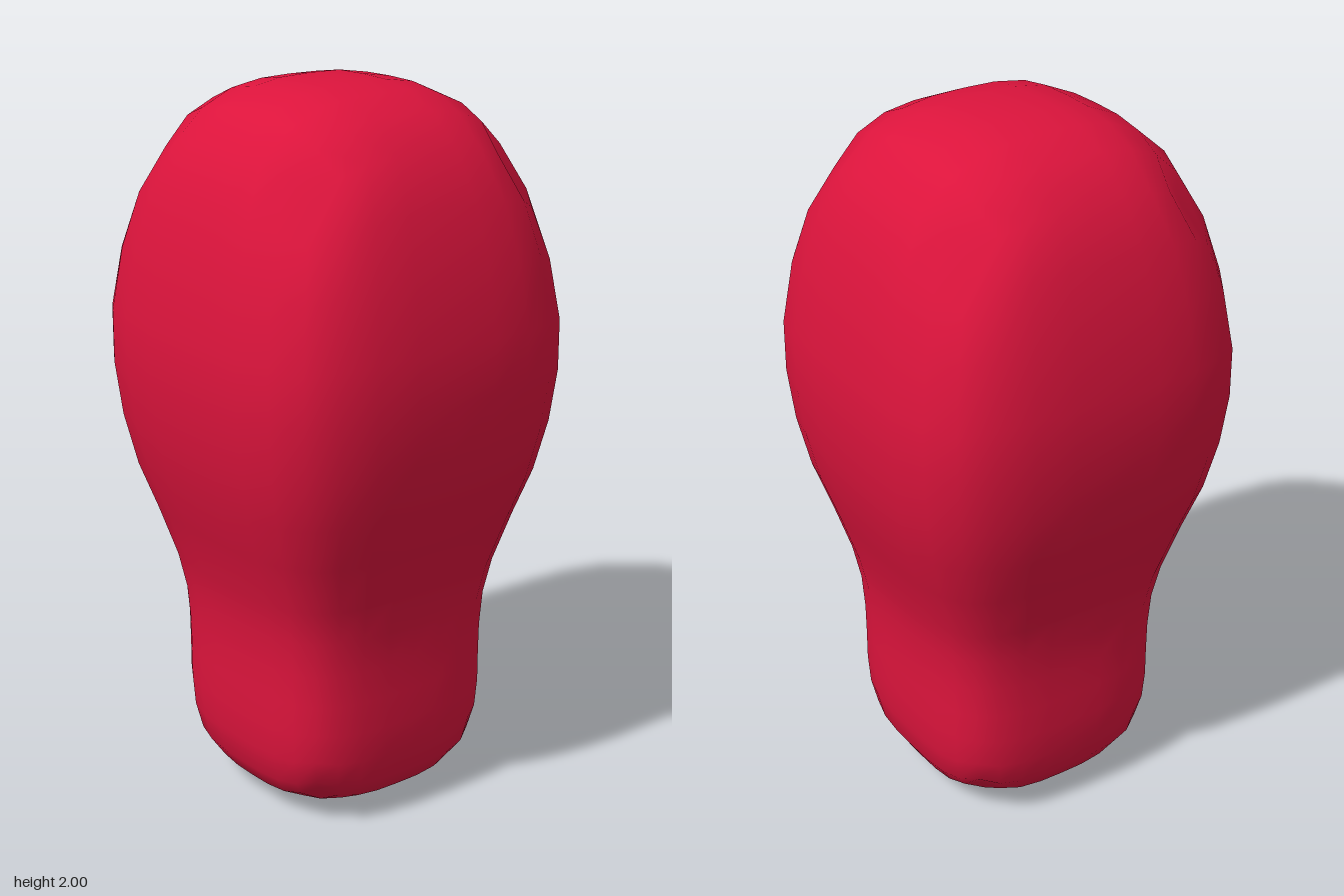
import * as THREE from 'three';
import { mergeVertices } from 'three/addons/utils/BufferGeometryUtils.js';

// Half width and height up the middle of each side, bottom rim to top rim
const PROFILE = [
  [0.29, 0.065], [0.325, 0.12], [0.342, 0.2], [0.348, 0.29], [0.348, 0.38], [0.349, 0.47],
  [0.356, 0.57], [0.376, 0.67], [0.42, 0.81], [0.465, 0.94], [0.497, 1.085], [0.514, 1.235],
  [0.514, 1.385], [0.487, 1.566], [0.444, 1.725], [0.38, 1.86],
];
const ROWS = PROFILE.length - 1;
const SIDE = 8;        // divisions across each side
const ROUND = 0.165;   // how far the vertical corners are pulled in

export function createModel() {
  const group = new THREE.Group();
  group.name = 'roundedBulb';

  // A box grid reshaped into a soft, square-sectioned bulb on a narrower neck
  let geo = new THREE.BoxGeometry(2, 2, 2, SIDE, ROWS, SIDE);
  geo.deleteAttribute('normal');
  geo.deleteAttribute('uv');
  geo = mergeVertices(geo, 1e-4);

  const pos = geo.attributes.position;
  for (let i = 0; i < pos.count; i++) {
    const u = pos.getX(i), v = pos.getY(i), w = pos.getZ(i);
    const U = Math.abs(u) ** 3, W = Math.abs(w) ** 3;
    const row = Math.round((v + 1) / 2 * ROWS);
    const [r, h] = PROFILE[row];

    let y;
    if (row === ROWS) y = 2 - 0.14 * (U + W) + 0.05 * U * W;       // domed top
    else if (row === 0) y = 0.065 * (U + W) - 0.02 * U * W;        // shallow rounded base
    else y = h - (v > 0 ? 0.09 : 0.045) * v ** 3 * U * W;          // corners drawn inwards

    pos.setXYZ(i, r * u * (1 - ROUND * u * u * W), y, r * w * (1 - ROUND * w * w * U));
  }
  geo.computeVertexNormals();

  const body = new THREE.Mesh(geo, new THREE.MeshStandardMaterial({ color: 0xdc143c }));
  body.name = 'body';
  group.add(body);
  return group;
}
